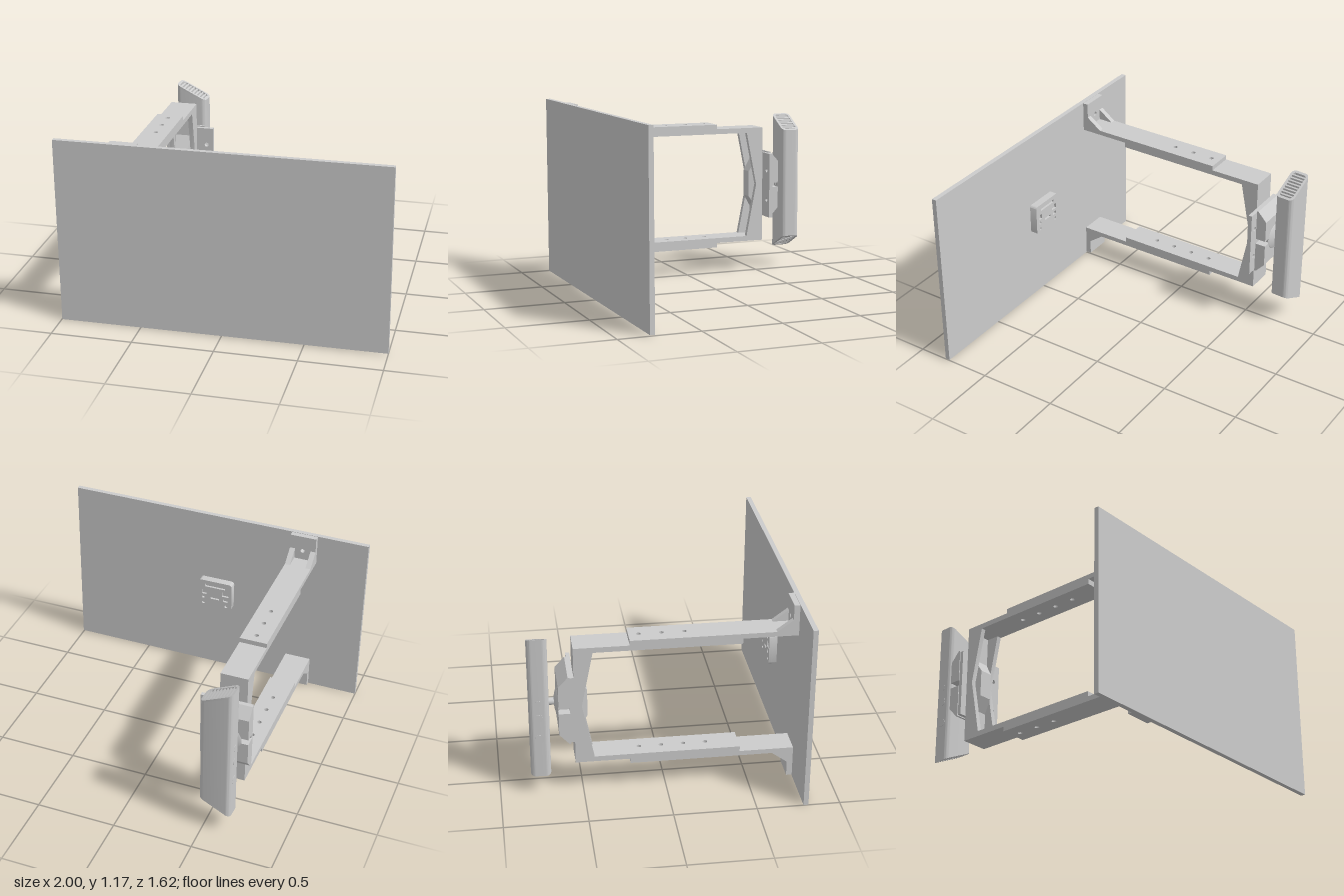
import * as THREE from 'three';
import { toCreasedNormals } from 'three/addons/utils/BufferGeometryUtils.js';

const mat = new THREE.MeshStandardMaterial({ color: 0xcccccc });

function add(parent, name, geo, x = 0, y = 0, z = 0) {
  const m = new THREE.Mesh(geo, mat);
  m.name = name;
  m.position.set(x, y, z);
  parent.add(m);
  return m;
}

const box = (w, h, d) => new THREE.BoxGeometry(w, h, d);

function poly(points) {
  return new THREE.Shape(points.map(([a, b]) => new THREE.Vector2(a, b)));
}

function rect(x0, x1, y0, y1) {
  return poly([[x0, y0], [x1, y0], [x1, y1], [x0, y1]]);
}

function roundRect(w, h, r) {
  const s = new THREE.Shape(), a = w / 2 - r, b = h / 2 - r;
  s.absarc(a, b, r, 0, Math.PI / 2);
  s.absarc(-a, b, r, Math.PI / 2, Math.PI);
  s.absarc(-a, -b, r, Math.PI, Math.PI * 1.5);
  s.absarc(a, -b, r, Math.PI * 1.5, Math.PI * 2);
  s.closePath();
  return s;
}

function drill(shape, holes, r) {
  for (const [x, y] of holes) shape.holes.push(new THREE.Path().absarc(x, y, r, 0, Math.PI * 2, true));
  return shape;
}

const extrude = (shape, depth) =>
  toCreasedNormals(new THREE.ExtrudeGeometry(shape, { depth, bevelEnabled: false, curveSegments: 10 }), 0.6);

// Plan in x/z, thickness downwards from y = 0
const slab = (shape, t) => extrude(shape, t).rotateX(Math.PI / 2);

// Profile in z/y, width centred on x = 0
const profile = (points, w) => extrude(poly(points), w).rotateY(-Math.PI / 2).translate(w / 2, 0, 0);

// Box whose +z face is scaled down
function frustum(w, h, d, sx, sy) {
  const g = box(w, h, d), p = g.attributes.position;
  for (let i = 0; i < p.count; i++) {
    if (p.getZ(i) > 0) p.setXY(i, p.getX(i) * sx, p.getY(i) * sy);
  }
  const flat = g.toNonIndexed();
  flat.computeVertexNormals();
  return flat;
}

const W = 0.17;

// Upper arm with wall foot; the lower arm is the same turned over
function createArm() {
  const arm = new THREE.Group();
  const holes = [-0.155, -0.02, 0.115].map(z => [0, z]);
  add(arm, 'outerBar', slab(drill(rect(-W / 2, W / 2, -0.215, 0.78), holes, 0.014), 0.03), 0, 0.413, 0);
  add(arm, 'innerBar', slab(drill(rect(-W / 2, W / 2, -0.545, 0.45), [...holes, [0, 0.25]], 0.014), 0.033), 0, 0.383, 0);
  add(arm, 'footPlate', extrude(drill(rect(-W / 2, W / 2, 0.413, 0.578), [[0, 0.475]], 0.014), 0.035), 0, 0, 0.745);
  for (const s of [-1, 1]) {
    add(arm, 'gusset', profile([[0.65, 0.413], [0.745, 0.413], [0.745, 0.483]], 0.033), s * (W / 2 - 0.0165), 0, 0);
  }
  return arm;
}

function createFrame() {
  const frame = new THREE.Group();
  frame.name = 'armFrame';
  for (const [name, turn] of [['upperArm', 0], ['lowerArm', Math.PI]]) {
    const arm = createArm();
    arm.name = name;
    arm.rotation.z = turn;
    frame.add(arm);
  }
  // Upright: two tapered ribs joined by a web
  const rib = [[-0.545, -0.352], [-0.43, -0.352], [-0.5, 0], [-0.43, 0.352], [-0.545, 0.352]];
  for (const s of [-1, 1]) add(frame, 'uprightRib', profile(rib, 0.03), s * (W / 2 - 0.015), 0, 0);
  add(frame, 'uprightWeb', box(W - 0.06, 0.704, 0.03), 0, 0, -0.53);
  add(frame, 'uprightBoss', frustum(0.105, 0.34, 0.052, 0.8, 0.5), 0, 0, -0.49);
  return frame;
}

function createMount() {
  const mount = new THREE.Group();
  mount.name = 'swivelMount';
  const plate = drill(rect(-0.125, 0.195, -0.215, 0.215), [[0.15, 0.1], [0.15, -0.1]], 0.014);
  add(mount, 'mountPlate', extrude(plate, 0.025), 0, 0, -0.572);
  // Chamfered housing with a notch in its middle
  for (const s of [-1, 1]) {
    const half = [[-0.57, 0.018 * s], [-0.57, 0.222 * s], [-0.582, 0.222 * s], [-0.64, 0.158 * s], [-0.64, 0.018 * s]];
    add(mount, 'housingHalf', profile(half, 0.26), 0, 0, 0);
  }
  add(mount, 'housingCore', box(0.15, 0.04, 0.068), 0, 0, -0.605);
  // Domed socket and ball stem
  const dome = [[0.088, 0], [0.08, 0.006], [0.05, 0.015], [0.022, 0.02], [0, 0.02]].map(p => new THREE.Vector2(...p));
  add(mount, 'socketDome', new THREE.LatheGeometry(dome, 32).rotateX(-Math.PI / 2), 0, 0, -0.639);
  add(mount, 'stem', new THREE.CylinderGeometry(0.022, 0.022, 0.06, 24).rotateX(Math.PI / 2), 0.003, 0, -0.672);
  return mount;
}

function createSensorBar() {
  const bar = new THREE.Group();
  bar.name = 'rearBar';
  const w = 0.2, d = 0.122, half = 0.41;
  // Slanted ends: longest on the -x side
  const slant = g => {
    const p = g.attributes.position;
    for (let i = 0; i < p.count; i++) {
      const y = p.getY(i);
      p.setY(i, y + Math.sign(y) * 0.048 * (-p.getX(i) / (w / 2)));
    }
    g.computeVertexNormals();
    return toCreasedNormals(g, 0.6);
  };
  const core = half - 0.015;
  add(bar, 'barBody', slant(slab(roundRect(w, d, 0.03), core * 2).translate(0, core, 0)));
  for (const s of [-1, 1]) {
    const ring = roundRect(w, d, 0.03);
    ring.holes.push(roundRect(w - 0.03, d - 0.03, 0.018));
    const top = s > 0 ? half : -core;
    add(bar, 'endRim', slant(slab(ring, 0.015).translate(0, top, 0)));
    for (let i = 0; i < 8; i++) {
      const x = -0.07 + i * 0.02;
      add(bar, 'ventSlat', slant(box(0.009, 0.013, d - 0.026).translate(x, s * (core + 0.0065), 0)));
    }
  }
  // Flush buttons on the long side
  for (const [y, r] of [[0.04, 0.02], [-0.06, 0.025], [-0.2, 0.028]]) {
    add(bar, 'sideButton', new THREE.CylinderGeometry(r, r, 0.004, 24).rotateZ(Math.PI / 2), -w / 2, y, 0);
  }
  return bar;
}

function createBracket() {
  const bracket = new THREE.Group();
  bracket.name = 'wallBracket';
  add(bracket, 'bracketBase', extrude(roundRect(0.235, 0.205, 0.022), 0.035), 0, 0, 0.745);
  const face = roundRect(0.235, 0.205, 0.022);
  // Slots and recesses in the cover
  for (const [x0, x1, y0, y1] of [[-0.07, 0.07, 0.055, 0.075], [-0.095, -0.05, 0.0, 0.035],
    [0.06, 0.09, -0.005, 0.03], [-0.03, 0.03, -0.035, -0.02], [-0.09, -0.06, -0.04, -0.02]]) {
    face.holes.push(rect(x0, x1, y0, y1));
  }
  drill(face, [[0.08, -0.03], [-0.08, -0.075], [0.08, -0.075]], 0.01);
  add(bracket, 'bracketCover', extrude(face, 0.016), 0, 0, 0.73);
  return bracket;
}

export function createModel() {
  const model = new THREE.Group();
  model.name = 'panelOnArms';

  const panel = add(model, 'panel', box(2, 1.164, 0.03), 0, 0.587, 0.795);
  panel.rotation.z = 0.003;

  const rear = new THREE.Group();
  rear.name = 'rearAssembly';
  rear.position.set(-0.585, 0.587, 0);
  model.add(rear);
  rear.add(createFrame(), createMount());

  const bar = createSensorBar();
  bar.position.set(0.012, -0.002, -0.749);
  bar.rotation.y = -0.05;
  rear.add(bar);

  const bracket = createBracket();
  bracket.position.set(-0.003, 0.587, 0);
  model.add(bracket);
  return model;
}
